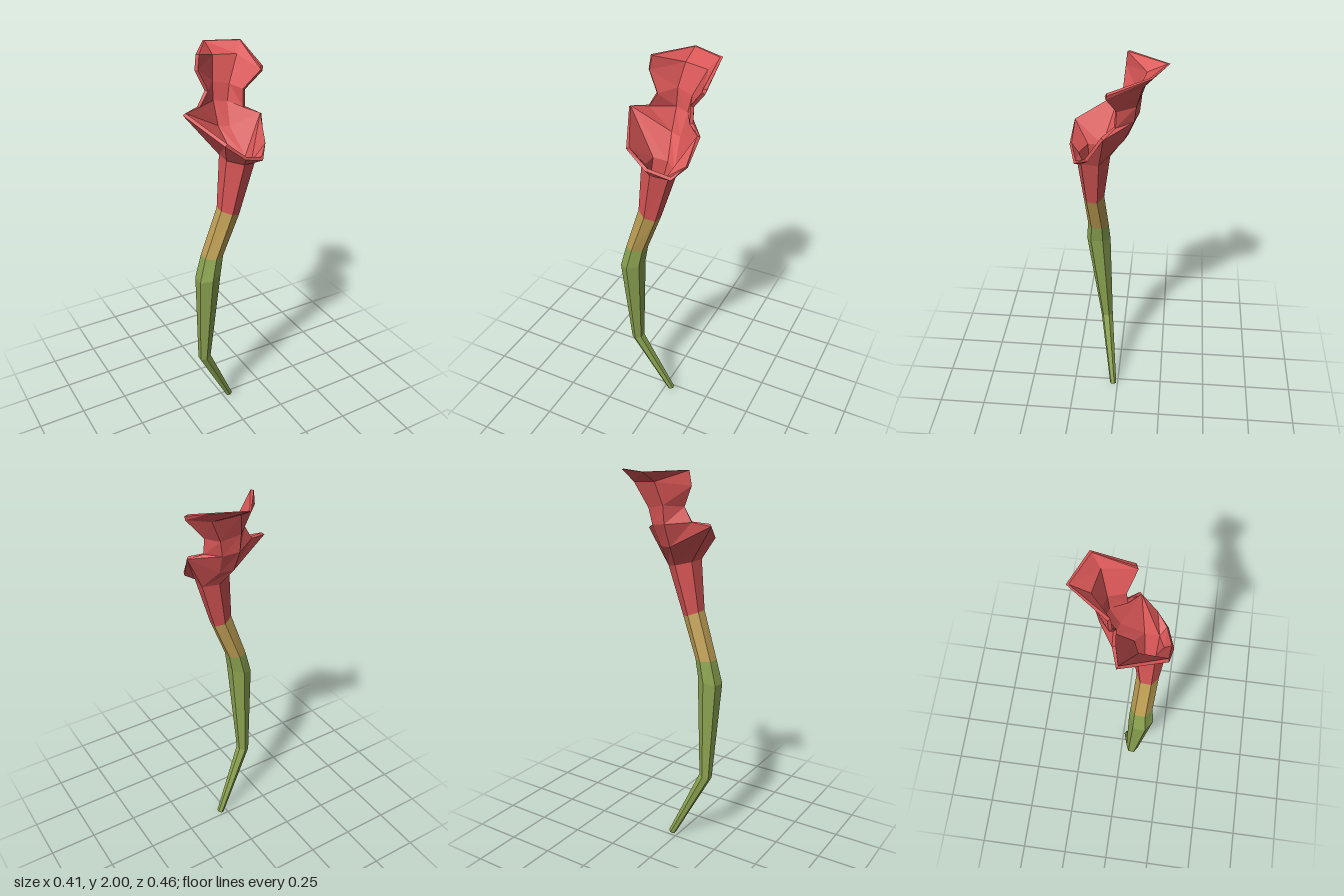
import * as THREE from 'three';

// Flat-faced mesh from shared points and triangle indices
function facetMesh(name, points, index, material) {
  const geo = new THREE.BufferGeometry().setFromPoints(points);
  geo.setIndex(index);
  const flat = geo.toNonIndexed();
  flat.computeVertexNormals();
  const mesh = new THREE.Mesh(flat, material);
  mesh.name = name;
  return mesh;
}

export function createModel() {
  const group = new THREE.Group();
  group.name = 'pitcherPlant';
  const material = (name, color) => {
    const m = new THREE.MeshStandardMaterial({ color });
    m.name = name;
    return m;
  };
  const green = material('stemGreen', 0x8ca451);
  const yellow = material('neckOchre', 0xc0a055);
  const red = material('pitcherRed', 0xd95656);

  const points = [];
  const add = (x, y, z) => points.push(new THREE.Vector3(x, y, z)) - 1;

  // Six-sided tube rings: centre x, y, z, radius, slope of y along x
  const tube = [
    [0.037, 0.01, 0.025, 0.018, 0.4],
    [-0.145, 0.39, 0.075, 0.033, 0.3],
    [-0.14, 0.93, 0.115, 0.064, 0.3],
    [-0.115, 1.04, 0.113, 0.055, 0],
    [-0.033, 1.27, 0.125, 0.054, -0.4],
    [0.018, 1.53, 0.118, 0.084, -0.25],
  ];
  const slots = [0, 1, 2, 3, 3, 4, 4, 5]; // eight rim slots share six tube corners
  const rings = tube.map(([x, y, z, r, slope]) => {
    const ids = [];
    for (let k = 0; k < 6; k++) {
      const a = THREE.MathUtils.degToRad(215 - 60 * k);
      const dx = r * Math.cos(a);
      ids.push(add(x + dx, y + slope * dx, z + r * Math.sin(a)));
    }
    return slots.map((s) => ids[s]);
  });

  // Flared mouth, left corner round the front to the back
  const rim = [
    [-0.2, 1.745, 0], [-0.1, 1.65, 0.215], [0, 1.57, 0.23], [0.115, 1.53, 0.195],
    [0.165, 1.575, 0.125], [0.19, 1.7, 0.05], [0.065, 1.63, -0.03], [0, 1.635, -0.05],
  ].map((p) => add(...p));
  rings.push(rim);

  // Hood rows, each from right edge across the back to left edge
  const hood = [[rim[5], rim[6], rim[7], rim[0]]];
  [
    [[0.13, 1.73, 0], [0.08, 1.74, -0.08], [0, 1.75, -0.1], [-0.11, 1.76, -0.03]],
    [[0.13, 1.81, -0.005], [0.095, 1.82, -0.09], [0, 1.84, -0.11], [-0.07, 1.83, -0.03]],
    [[0.2, 1.9, 0.035], [0.155, 1.94, -0.12], [0.022, 1.95, -0.145], [-0.115, 1.93, -0.04]],
    [[0.205, 1.92, 0.03], [0.195, 2, -0.16], [0.03, 2, -0.23], [-0.105, 2, -0.045]],
  ].forEach((row) => hood.push(row.map((p) => add(...p))));

  const quad = (out, a, b, c, d) => {
    if (a !== b) out.push(a, b, c);
    if (c !== d) out.push(a, c, d);
  };
  const loft = (from, to) => {
    const out = [];
    for (let i = from; i < to; i++) {
      for (let j = 0; j < 8; j++) {
        const k = (j + 1) % 8;
        quad(out, rings[i][j], rings[i][k], rings[i + 1][k], rings[i + 1][j]);
      }
    }
    return out;
  };
  const fan = (r) => [2, 3, 5, 7].flatMap((j) => [r[0], r[j === 2 ? 1 : j === 3 ? 2 : j === 5 ? 3 : 5], r[j]]);

  const stem = loft(0, 3);
  const neck = loft(3, 4);
  const flower = loft(4, 6);
  for (let i = 0; i < hood.length - 1; i++) {
    for (let j = 0; j < 3; j++) {
      quad(flower, hood[i][j], hood[i][j + 1], hood[i + 1][j + 1], hood[i + 1][j]);
    }
  }

  // Inner wall: every point moved inward along its smooth normal
  const shell = new THREE.BufferGeometry().setFromPoints(points);
  shell.setIndex([...stem, ...neck, ...flower]);
  shell.computeVertexNormals();
  const n = points.length;
  const normals = shell.attributes.normal;
  for (let i = 0; i < n; i++) {
    const normal = new THREE.Vector3().fromBufferAttribute(normals, i);
    const p = points[i].clone().addScaledVector(normal, -0.017);
    p.y = Math.min(p.y, 2);
    points.push(p);
  }
  const inside = (list) => {
    const out = [];
    for (let i = 0; i < list.length; i += 3) out.push(list[i] + n, list[i + 2] + n, list[i + 1] + n);
    return out;
  };

  // Lip joining both walls along the mouth and the hood edge
  const edge = [
    ...rim.slice(0, 6),
    ...hood.slice(1, 4).map((row) => row[0]),
    ...hood[4],
    ...hood.slice(1, 4).map((row) => row[3]).reverse(),
  ];
  const lip = [];
  edge.forEach((a, i) => {
    const b = edge[(i + 1) % edge.length];
    quad(lip, a, b, b + n, a + n);
  });

  // The tip is closed below, and a floor closes the hollow neck
  const tip = inside(fan(rings[0])).map((i) => i - n);
  const neckFloor = fan(rings[3]).map((i) => i + n);

  group.add(facetMesh('stem', points, [...stem, ...tip], green));
  group.add(facetMesh('neck', points, neck, yellow));
  group.add(facetMesh('neckInside', points, [...inside(neck), ...neckFloor], yellow));
  group.add(facetMesh('pitcherAndHood', points, flower, red));
  group.add(facetMesh('pitcherInside', points, inside(flower), red));
  group.add(facetMesh('lip', points, lip, red));
  return group;
}
